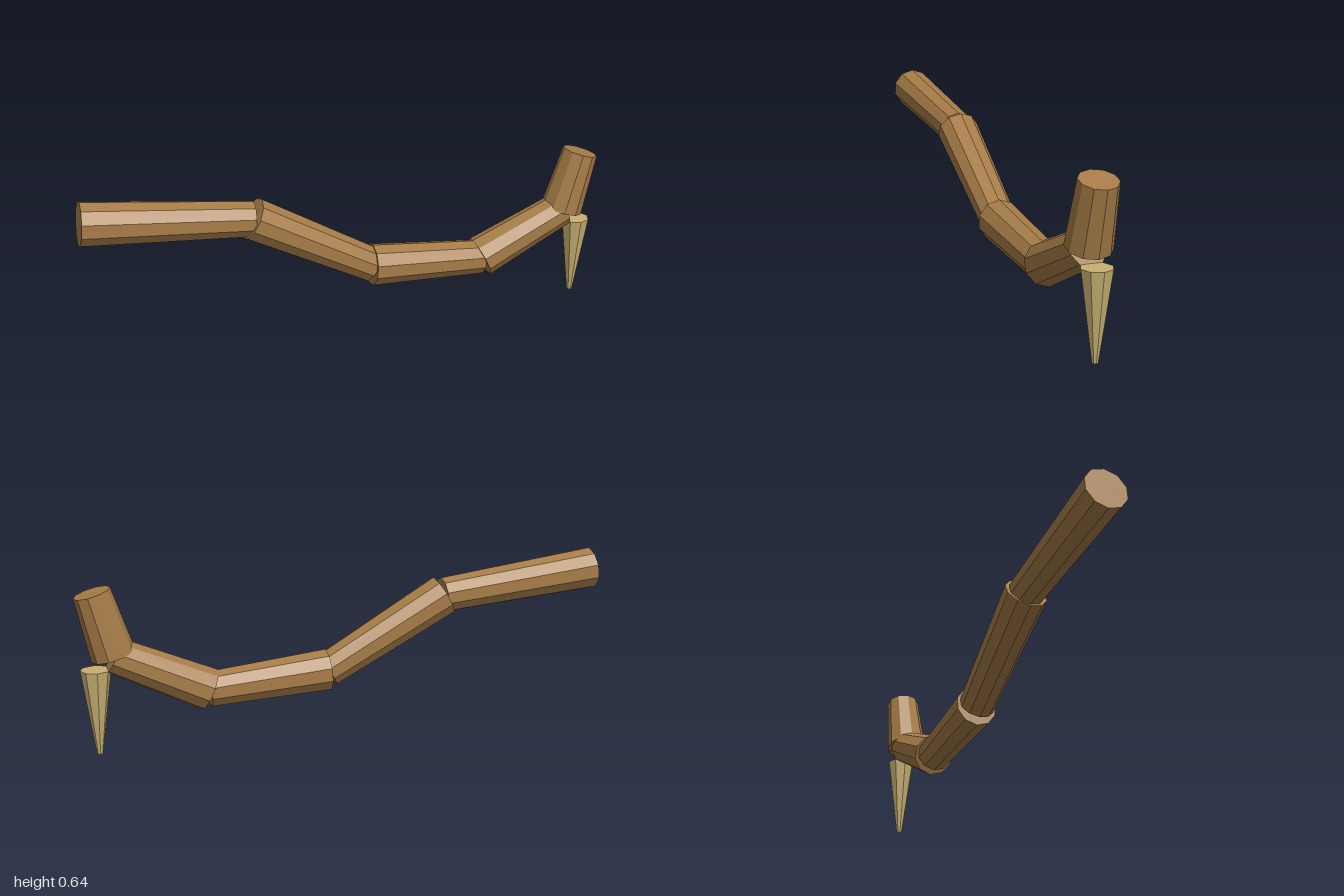
import * as THREE from 'three';

export function createModel() {
  const group = new THREE.Group();
  group.name = 'branch';

  const wood = new THREE.MeshStandardMaterial({ color: 0xa67c47, flatShading: true });
  wood.name = 'wood';
  const thornTan = new THREE.MeshStandardMaterial({ color: 0xc8b072, flatShading: true });
  thornTan.name = 'thorn tan';

  // Bent branch: tapered ten-sided segments between the joints
  const joints = [
    [-0.991, 0.563], [-0.377, 0.496], [0.08, 0.241],
    [0.53, 0.206], [0.869, 0.364], [0.933, 0.594],
  ].map(([x, y]) => new THREE.Vector2(x, y));

  for (let i = 0; i < joints.length - 1; i++) {
    const a = joints[i], b = joints[i + 1];
    const geometry = new THREE.CylinderGeometry(0.067, 0.08, a.distanceTo(b), 10, 1, false, Math.PI / 2);
    const segment = new THREE.Mesh(geometry, wood);
    segment.name = `branchSegment${i + 1}`;
    segment.position.set((a.x + b.x) / 2, (a.y + b.y) / 2, 0);
    segment.rotation.z = Math.atan2(b.y - a.y, b.x - a.x) - Math.PI / 2;
    group.add(segment);
  }

  // Thorn pointing down under the tip
  const thorn = new THREE.Mesh(new THREE.CylinderGeometry(0.055, 0.011, 0.315, 8), thornTan);
  thorn.name = 'thorn';
  thorn.position.set(0.933, 0.1575, 0);
  group.add(thorn);

  return group;
}
